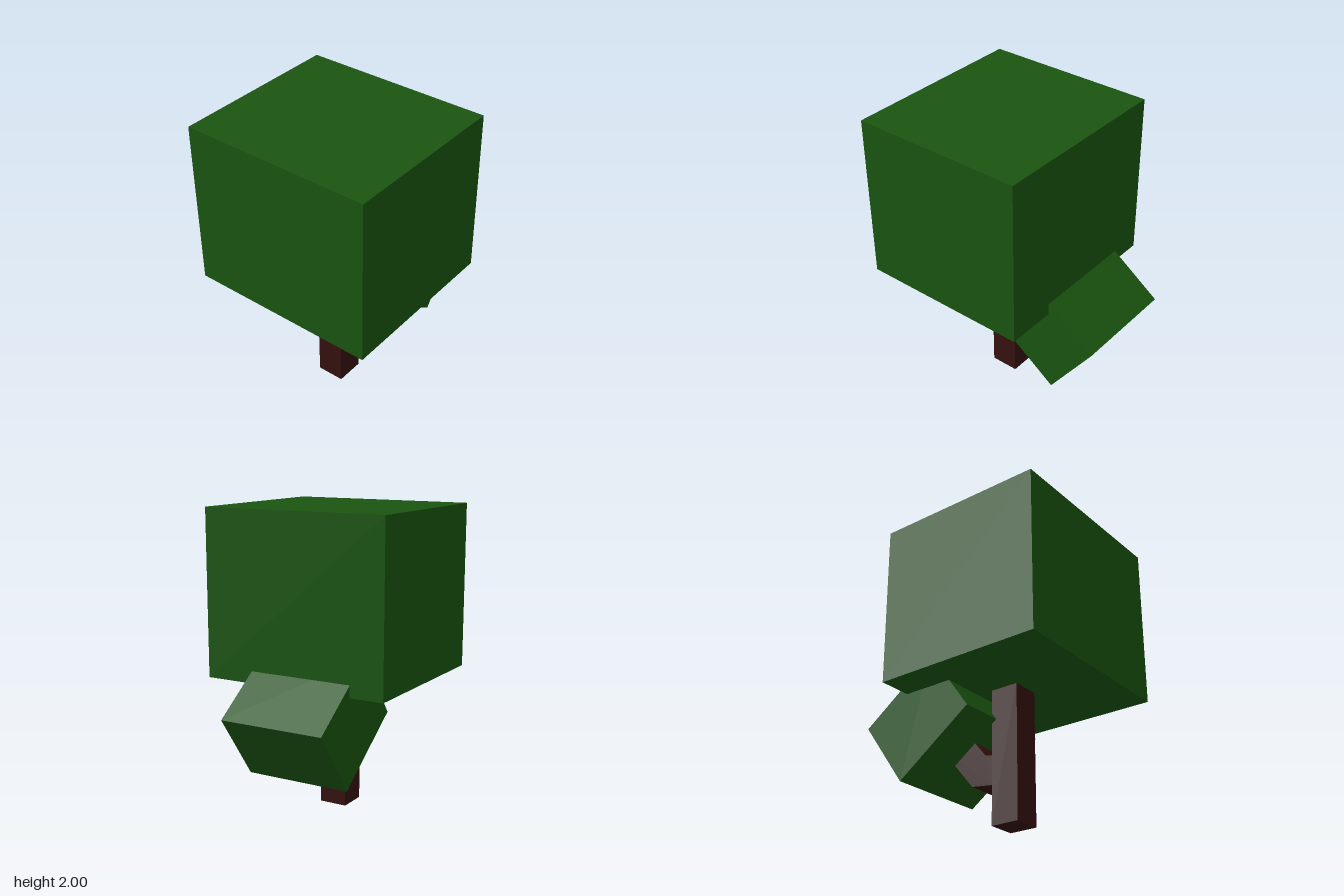
import * as THREE from 'three';

export function createModel() {
  const tree = new THREE.Group();
  tree.name = 'tree';

  const leaves = new THREE.MeshStandardMaterial({ color: 0x1a5510 });
  const bark = new THREE.MeshStandardMaterial({ color: 0x35110f });

  const add = (name, geometry, material, x, y, z) => {
    const mesh = new THREE.Mesh(geometry, material);
    mesh.name = name;
    mesh.position.set(x, y, z);
    tree.add(mesh);
    return mesh;
  };

  // Upright trunk, running slightly into the canopy
  add('trunk', new THREE.BoxGeometry(0.19, 0.92, 0.195), bark, -0.025, 0.46, 0.1475);

  // Large block of leaves on top
  add('canopy', new THREE.BoxGeometry(1.28, 1.105, 1.165), leaves, 0, 1.4475, 0.1675);

  // Bent branch: side profile as (distance backwards, height), extruded across x
  const profile = [
    [-0.05, 0.26], [0.105, 0.28], [0.385, 0.62],
    [0.24, 0.757], [0, 0.465], [-0.05, 0.455],
  ].map(([back, y]) => new THREE.Vector2(back, y));
  const branchGeometry = new THREE.ExtrudeGeometry(new THREE.Shape(profile), {
    depth: 0.19, bevelEnabled: false,
  }).rotateY(Math.PI / 2);
  add('branch', branchGeometry, bark, -0.12, 0, 0);

  // Smaller tilted block of leaves at the branch end
  const cluster = add('branchLeaves', new THREE.BoxGeometry(0.715, 0.523, 0.652),
    leaves, -0.055, 0.7125, -0.3325);
  cluster.rotation.x = -0.622;

  return tree;
}
